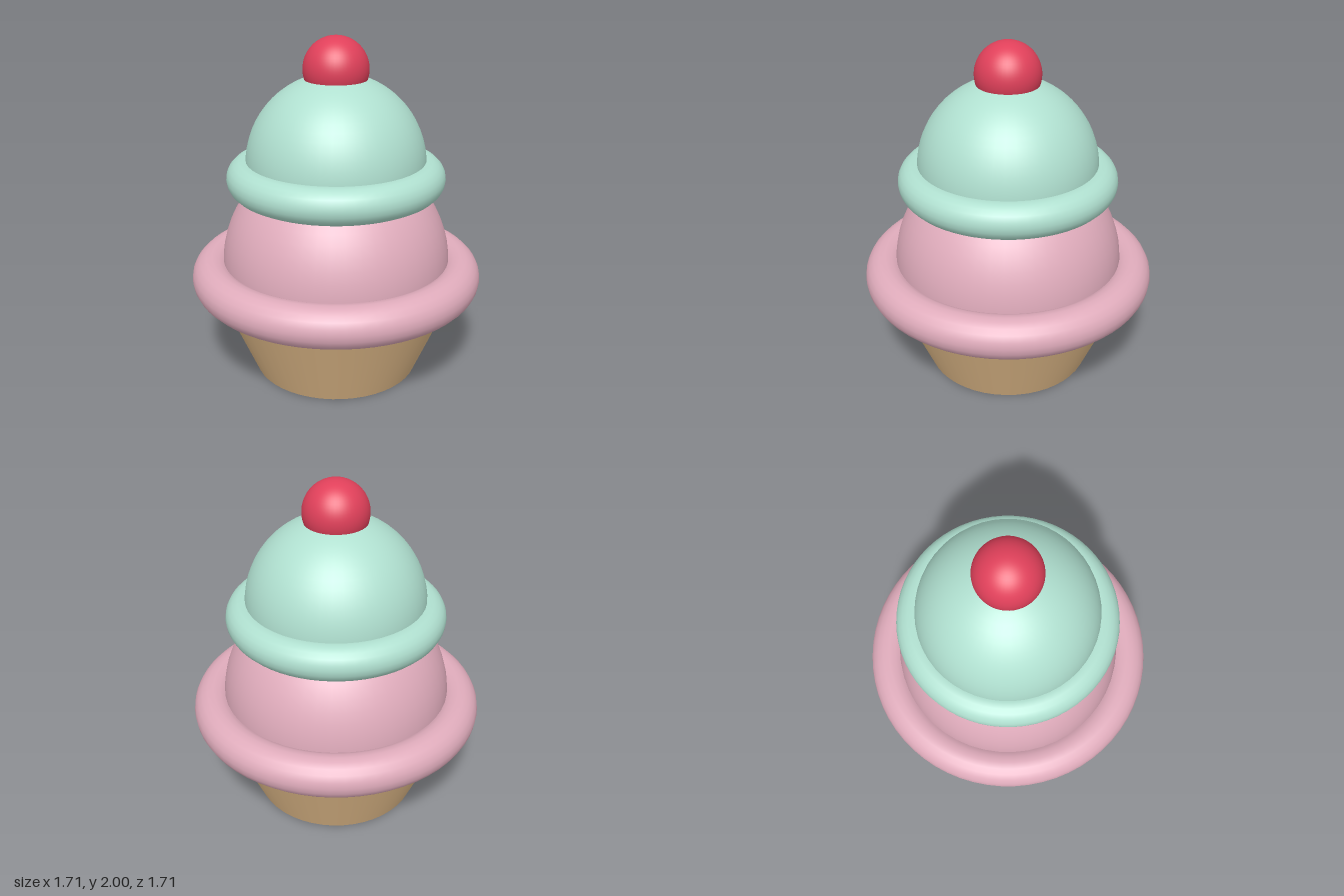
import * as THREE from 'three';

const mat = (name, color) => {
  const m = new THREE.MeshStandardMaterial({ color });
  m.name = name;
  return m;
};

export function createModel() {
  const group = new THREE.Group();
  const tan = mat('tan wafer', 0xdeb887);
  const pink = mat('pink cream', 0xe0acbc);
  const mint = mat('mint cream', 0xb0e0d0);
  const red = mat('cherry red', 0xe0405a);

  const add = (name, geometry, material, y) => {
    const mesh = new THREE.Mesh(geometry, material);
    mesh.name = name;
    mesh.position.y = y;
    group.add(mesh);
  };
  const ring = (radius, tube) => new THREE.TorusGeometry(radius, tube, 20, 64).rotateX(Math.PI / 2);
  const ball = (radius) => new THREE.SphereGeometry(radius, 48, 32);

  // Tapered cup with a closed flat base
  add('cup', new THREE.CylinderGeometry(0.69, 0.49, 0.47, 48), tan, 0.235);

  // Lower scoop: dome, rolled rim and the thin cream edge under it
  add('lowerScoop', ball(0.67), pink, 0.67);
  add('lowerRim', ring(0.735, 0.12), pink, 0.6);
  add('lowerCreamEdge', new THREE.CylinderGeometry(0.71, 0.692, 0.04, 48), pink, 0.485);

  // Upper scoop
  add('upperScoop', ball(0.52), mint, 1.27);
  add('upperRim', ring(0.528, 0.105), mint, 1.195);
  add('upperCreamEdge', new THREE.CylinderGeometry(0.53, 0.527, 0.03, 48), mint, 1.1);

  // Cherry on top
  add('cherry', ball(0.187), red, 1.813);

  return group;
}
